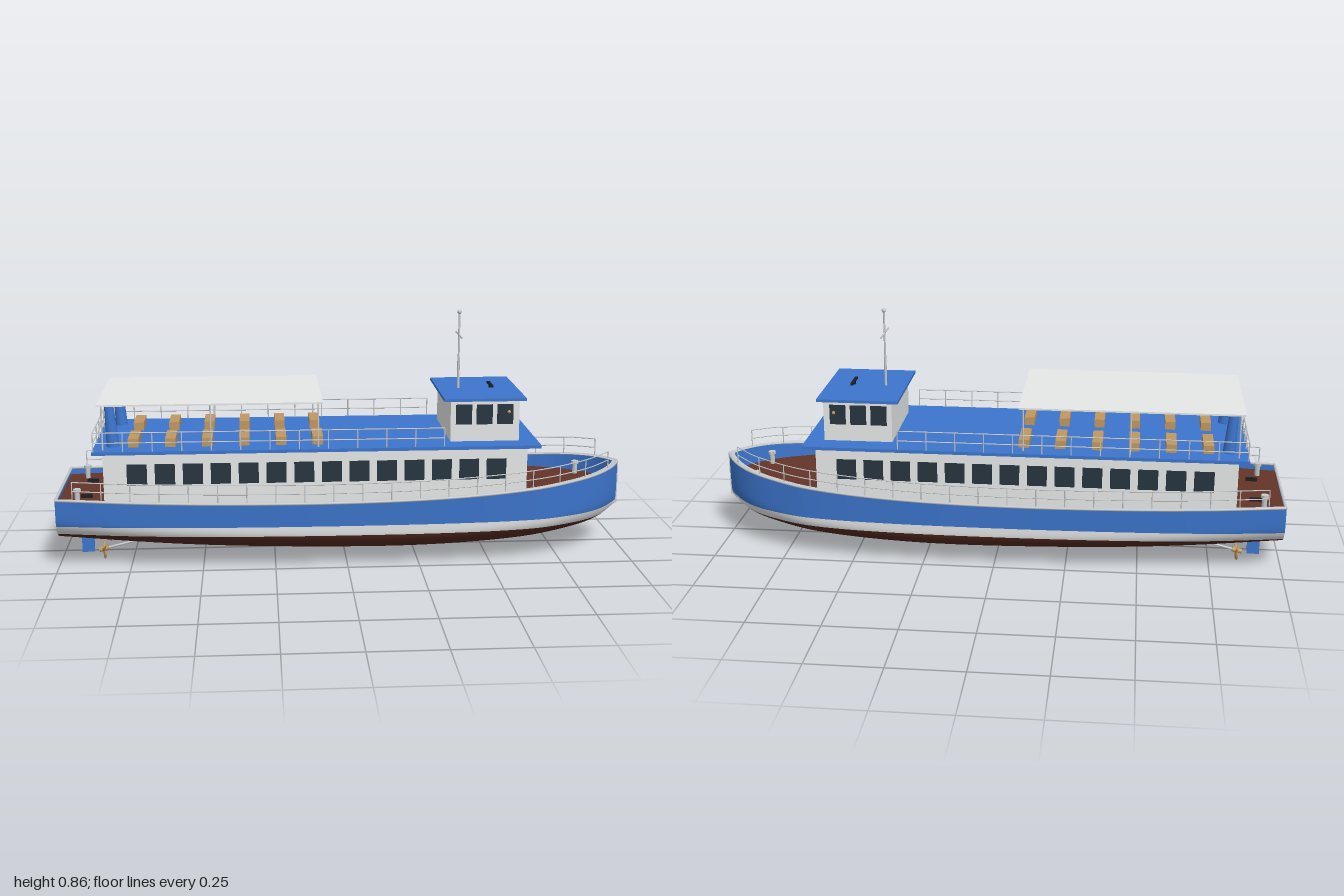
import * as THREE from 'three';

const mat = (name, color, side = THREE.FrontSide) => {
  const m = new THREE.MeshStandardMaterial({ color, side });
  m.name = name;
  return m;
};
const M = {
  blue: mat('blue paint', 0x3c75cc, THREE.DoubleSide),
  white: mat('off-white paint', 0xebecec, THREE.DoubleSide),
  red: mat('bottom red', 0x52281f, THREE.DoubleSide),
  deck: mat('deck brown', 0x643429, THREE.DoubleSide),
  glass: mat('dark glass', 0x26343f),
  metal: mat('grey metal', 0xc6c9cb, THREE.DoubleSide),
  wood: mat('bronze and wood', 0xc09860),
  black: mat('black', 0x1c1e21),
};

// Smooth curve y(x) through a few points
const spline = (p) => (x) => {
  let i = 0;
  while (i < p.length - 2 && x > p[i + 1][0]) i++;
  const slope = (j) => {
    const a = p[Math.max(j - 1, 0)], b = p[Math.min(j + 1, p.length - 1)];
    return (b[1] - a[1]) / (b[0] - a[0]);
  };
  const [x0, y0] = p[i], [x1, y1] = p[i + 1], d = x1 - x0, t = (x - x0) / d;
  const t2 = t * t, t3 = t2 * t;
  return (2 * t3 - 3 * t2 + 1) * y0 + (t3 - 2 * t2 + t) * d * slope(i)
    + (3 * t2 - 2 * t3) * y1 + (t3 - t2) * d * slope(i + 1);
};

// Hull lines: half breadth, keel height, sheer height
const beam = spline([[-1, 0.217], [-0.75, 0.245], [-0.4, 0.264], [0, 0.271], [0.4, 0.264], [0.66, 0.24],
  [0.8, 0.195], [0.88, 0.153], [0.94, 0.1], [0.98, 0.045], [1, 0.004]]);
const keel = spline([[-1, 0.08], [-0.5, 0.046], [0, 0.031], [0.3, 0.032], [0.6, 0.048], [0.8, 0.073],
  [0.92, 0.1], [1, 0.142]]);
const sheer = spline([[-1, 0.25], [-0.5, 0.24], [0, 0.239], [0.35, 0.248], [0.66, 0.268], [1, 0.3]]);
const DECK = 0.226, LOW = 0.12, HIGH = 0.155;
const halfWidth = (x, y) => {
  const t = Math.min(Math.max((y - keel(x)) / 0.105, 0), 1);
  const flare = 0.955 + 0.045 * Math.min(y / sheer(x), 1);
  return beam(x) * flare * Math.pow(1 - Math.pow(1 - t, 2.3), 1 / 2.3);
};

// Grid surface from fn(u, v); its front is du x dv
function surface(fn, nu, nv) {
  const pos = [], idx = [];
  for (let i = 0; i <= nu; i++) for (let j = 0; j <= nv; j++) pos.push(...fn(i / nu, j / nv));
  for (let i = 0; i < nu; i++) for (let j = 0; j < nv; j++) {
    const a = i * (nv + 1) + j, b = a + nv + 1;
    idx.push(a, b, a + 1, b, b + 1, a + 1);
  }
  const g = new THREE.BufferGeometry();
  g.setAttribute('position', new THREE.Float32BufferAttribute(pos, 3));
  g.setIndex(idx);
  g.computeVertexNormals();
  return g;
}

export function createModel() {
  const root = new THREE.Group();
  root.name = 'passengerFerry';
  const add = (name, geo, m, x = 0, y = 0, z = 0) => {
    const mesh = new THREE.Mesh(geo, m);
    mesh.name = name;
    mesh.position.set(x, y, z);
    root.add(mesh);
    return mesh;
  };
  const box = (name, m, x0, x1, y0, y1, z0, z1) => add(name,
    new THREE.BoxGeometry(x1 - x0, y1 - y0, z1 - z0), m, (x0 + x1) / 2, (y0 + y1) / 2, (z0 + z1) / 2);
  const bar = (name, m, a, b, r) => {
    const A = new THREE.Vector3(...a), d = new THREE.Vector3(...b).sub(A), len = d.length();
    const mesh = add(name, new THREE.CylinderGeometry(r, r, len, 8), m);
    mesh.position.copy(A).addScaledVector(d, 0.5);
    mesh.quaternion.setFromUnitVectors(new THREE.Vector3(0, 1, 0), d.normalize());
  };
  const tube = (name, m, pts, r) => add(name, new THREE.TubeGeometry(
    new THREE.CatmullRomCurve3(pts.map((p) => new THREE.Vector3(...p))), 64, r, 6), m);
  const range = (n, a, b) => Array.from({ length: n }, (_, i) => a + (b - a) * i / (n - 1));
  const sides = [1, -1];

  // Hull skin in three bands, closer stations towards the bow
  const station = (u) => 2 * Math.sin(u * Math.PI / 2) - 1;
  add('hullBottom', surface((u, v) => {
    const x = station(u), k = keel(x), s = 2 * v - 1;
    const y = k + Math.max(LOW - k, 0) * (1 - Math.cos(s * Math.PI / 2));
    return [x, y, Math.sign(s) * halfWidth(x, y)];
  }, 56, 28), M.red);
  const band = (name, m, lo, hi, n) => sides.forEach((s) => add(name, surface((u, v) => {
    const x = station(u), q = s > 0 ? v : 1 - v;
    const a = Math.max(lo, keel(x)), y = a + (hi(x) - a) * q * q;
    return [x, y, s * halfWidth(x, y)];
  }, 56, n), m));
  band('waterlineBand', M.white, LOW, () => HIGH, 6);
  band('topsides', M.blue, HIGH, sheer, 6);

  // Transom: painted corner above a red plate
  const ys = range(16, 0, 1).map((t) => 0.08 + (HIGH - 0.08) * t * t);
  const sternTop = sheer(-1), sternB = halfWidth(-1, sternTop), lowB = halfWidth(-1, HIGH);
  const plate = (name, pts, m) => {
    add(name, new THREE.ShapeGeometry(new THREE.Shape(pts.map((p) => new THREE.Vector2(...p)))), m, -1)
      .rotation.y = -Math.PI / 2;
  };
  plate('transomPlate', [...ys.slice(1).reverse().map((y) => [-halfWidth(-1, y), y]),
    ...ys.map((y) => [halfWidth(-1, y), y]), [sternB, sternTop]], M.red);
  plate('transomCorner', [[-sternB, sternTop], [-lowB, HIGH], [sternB, sternTop]], M.blue);

  // Deck, gunwale cap and stem
  add('mainDeck', surface((u, v) => {
    const x = station(u) * 0.998;
    return [x, DECK, (1 - 2 * v) * halfWidth(x, DECK) * 0.99];
  }, 48, 2), M.deck);
  sides.forEach((s) => {
    tube('gunwale', M.metal,
      range(41, 0, 1).map((u) => [station(u) * 0.998, sheer(station(u)), s * beam(station(u))]), 0.005);
    add('gunwaleCap', surface((u, v) => {
      const x = station(u), q = s > 0 ? 1 - v : v;
      const inner = x < 0.98 ? Math.max(beam(x + 0.015) - 0.012, 0) : 0;
      return [x, sheer(x) + 0.003, s * (inner + (beam(x) - inner) * q)];
    }, 56, 1), M.metal);
  });
  bar('sternCap', M.metal, [-0.997, sternTop, -sternB], [-0.997, sternTop, sternB], 0.005);
  box('stemPost', M.metal, 0.985, 1.002, 0.142, 0.298, -0.007, 0.007);

  // Main cabin with windows
  box('cabin', M.white, -0.83, 0.62, 0.205, 0.415, -0.232, 0.232);
  box('cabinRoof', M.blue, -0.865, 0.665, 0.414, 0.425, -0.25, 0.25);
  sides.forEach((s) => range(14, -0.717, 0.513).forEach((x) =>
    box('cabinWindow', M.glass, x - 0.034, x + 0.034, 0.305, 0.377, s * 0.232 - 0.003, s * 0.232 + 0.003)));
  range(5, -0.148, 0.148).forEach((z) =>
    box('cabinFrontWindow', M.glass, 0.617, 0.623, 0.305, 0.377, z - 0.028, z + 0.028));

  // Wheelhouse
  box('wheelhouse', M.white, 0.36, 0.6, 0.42, 0.57, -0.173, 0.173);
  box('wheelhouseRoof', M.blue, 0.335, 0.62, 0.569, 0.579, -0.192, 0.192);
  sides.forEach((s) => {
    [0.406, 0.478, 0.55].forEach((x) =>
      box('wheelhouseSideWindow', M.glass, x - 0.028, x + 0.028, 0.485, 0.555, s * 0.173 - 0.003, s * 0.173 + 0.003));
    add('sideLight', new THREE.SphereGeometry(0.006, 12, 8), M.wood, 0.56, 0.532, s * 0.192);
  });
  range(6, -0.132, 0.132).forEach((z) =>
    box('wheelhouseFrontWindow', M.glass, 0.597, 0.603, 0.485, 0.555, z - 0.02, z + 0.02));

  // Mast and radar
  bar('mastFoot', M.metal, [0.41, 0.578, 0], [0.41, 0.69, 0], 0.0048);
  bar('mastTop', M.metal, [0.41, 0.69, 0], [0.41, 0.85, 0], 0.0035);
  add('mastBall', new THREE.SphereGeometry(0.008, 16, 12), M.metal, 0.41, 0.852, 0);
  bar('mastYard', M.metal, [0.41, 0.77, -0.072], [0.41, 0.77, 0.072], 0.003);
  bar('radarFoot', M.black, [0.525, 0.578, 0], [0.525, 0.588, 0], 0.006);
  box('radarBar', M.black, 0.52, 0.53, 0.587, 0.594, -0.042, 0.042);

  // Canopy, posts, funnels and benches on the upper deck
  box('canopy', M.white, -0.845, -0.085, 0.579, 0.585, -0.238, 0.238);
  sides.forEach((s) => {
    [-0.83, -0.465, -0.1].forEach((x) =>
      bar('canopyPost', M.metal, [x, 0.42, s * 0.218], [x, 0.58, s * 0.218], 0.003));
    const funnel = new THREE.CylinderGeometry(0.016, 0.022, 0.14, 20);
    funnel.translate(0, 0.07, 0);
    add('funnel', funnel, M.blue, -0.8, 0.425, s * 0.162).rotation.z = 0.07;
    range(6, -0.73, -0.1).forEach((x) =>
      box('bench', M.wood, x - 0.018, x + 0.018, 0.424, 0.454, s * 0.123 - 0.063, s * 0.123 + 0.063));
  });

  // Upper deck railing
  sides.forEach((s) => {
    [0.455, 0.49].forEach((y) => bar('upperRail', M.metal, [-0.86, y, s * 0.244], [0.33, y, s * 0.244], 0.002));
    range(13, -0.86, 0.33).forEach((x) =>
      bar('upperRailPost', M.metal, [x, 0.42, s * 0.244], [x, 0.49, s * 0.244], 0.002));
  });
  [0.455, 0.49].forEach((y) => bar('upperSternRail', M.metal, [-0.86, y, -0.244], [-0.86, y, 0.244], 0.002));
  range(4, -0.12, 0.12).forEach((z) =>
    bar('upperSternPost', M.metal, [-0.86, 0.42, z], [-0.86, 0.49, z], 0.002));

  // Main deck railing follows the sheer
  sides.forEach((s) => {
    const at = (x, h) => [x, sheer(x) + h, s * (beam(x) - 0.006)];
    [0.033, 0.065].forEach((h) =>
      tube('deckRail', M.metal, range(24, -0.94, 0.94).map((x) => at(x, h)), 0.002));
    range(20, -0.94, 0.94).forEach((x) => bar('deckRailPost', M.metal, at(x, 0), at(x, 0.065), 0.002));
  });

  // Bollards and cleats
  sides.forEach((s) => {
    [[-0.93, 0.16], [0.87, 0.107]].forEach(([x, z]) => {
      bar('bollard', M.metal, [x, DECK, s * z], [x, DECK + 0.04, s * z], 0.009);
      bar('bollardCap', M.metal, [x, DECK + 0.038, s * z], [x, DECK + 0.048, s * z], 0.014);
    });
    box('cleat', M.black, -0.925, -0.885, DECK, DECK + 0.012, s * 0.1 - 0.005, s * 0.1 + 0.005);
  });

  // Propellers, shafts and rudders
  sides.forEach((s) => {
    const z = s * 0.1;
    bar('shaft', M.metal, [-0.86, 0.036, z], [-0.7, 0.075, z], 0.004);
    bar('propellerHub', M.wood, [-0.868, 0.034, z], [-0.835, 0.041, z], 0.009);
    for (let i = 0; i < 3; i++) {
      const blade = new THREE.SphereGeometry(1, 12, 8);
      blade.scale(0.004, 0.018, 0.011).rotateY(0.5).translate(0, -0.018, 0).rotateX(i * Math.PI * 2 / 3);
      add('propellerBlade', blade, M.wood, -0.85, 0.036, z);
    }
    box('rudder', M.blue, -0.928, -0.885, 0.028, 0.085, z - 0.004, z + 0.004);
  });
  return root;
}
